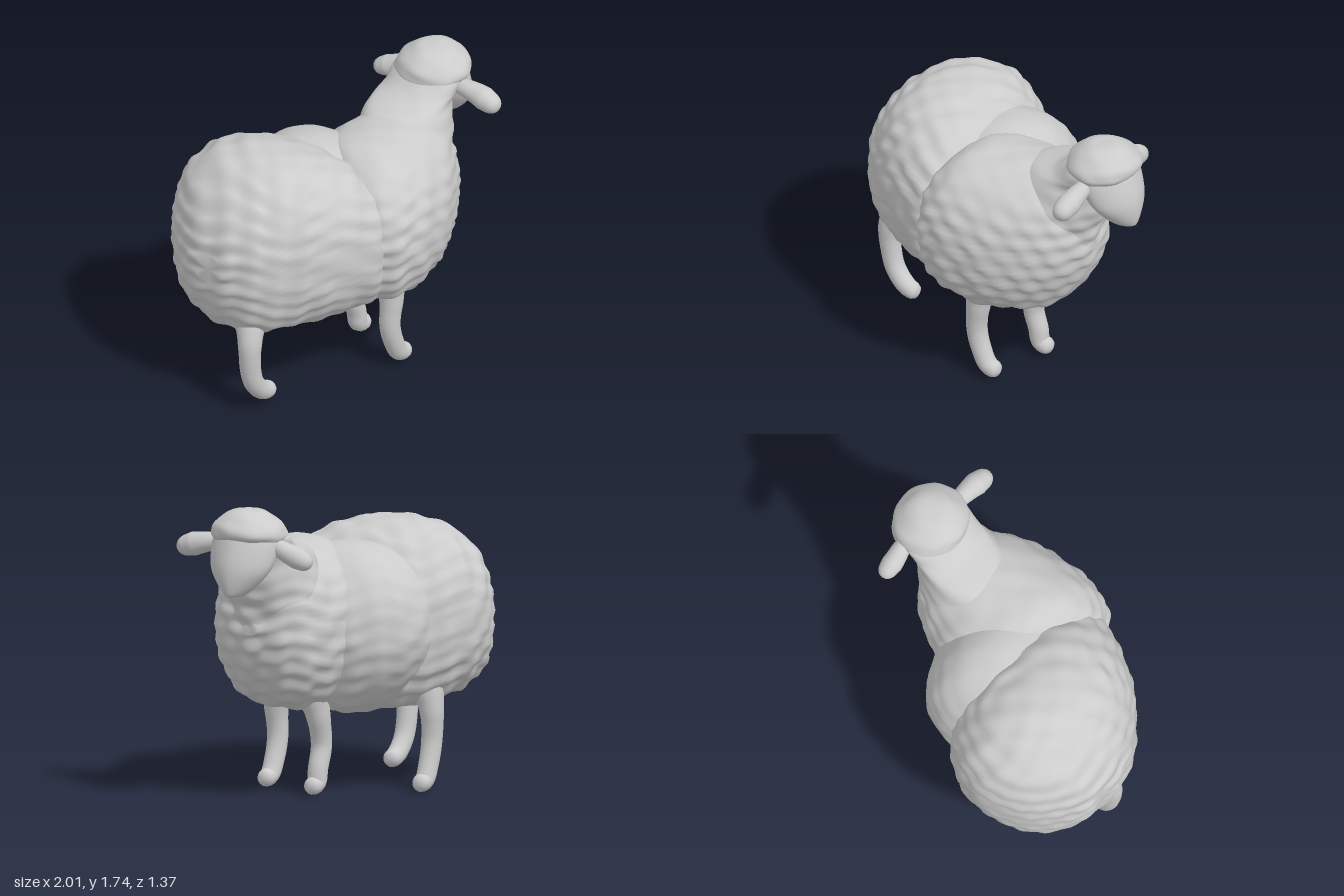
import * as THREE from 'three';
import { mergeVertices } from 'three/addons/utils/BufferGeometryUtils.js';

const material = new THREE.MeshStandardMaterial({ color: 0xcccccc });

// Wool relief: staggered horizontal ridges, fading out towards smoothUp
function wool(p, amount, smoothUp) {
  const fade = 1 - 0.75 * THREE.MathUtils.smoothstep(p.y, smoothUp - 0.25, smoothUp);
  const ridge = Math.sin(p.y * 62 + 2.2 * Math.sin(p.x * 9 + p.z * 7));
  const lumps = Math.sin(p.x * 31 + p.y * 13) * Math.sin(p.z * 29 - p.y * 17);
  return amount * fade * (0.5 * ridge + 0.8 * lumps);
}

// Closed loft. A station is [position, lo, hi, lo, hi]:
// along x the ranges are y and z, along y they are x and z.
// Powers below 1 square off the two halves of each ring (upper and lower along x).
function loft(name, axis, stations, { rings = 56, sides = 72, powers = [1, 1], bump = 0, smoothUp = 9 } = {}) {
  const curves = [0, 1, 2, 3, 4].map(k =>
    new THREE.CatmullRomCurve3(stations.map((s, i) => new THREE.Vector3(i, s[k], 0)), false, 'catmullrom', 0.5));
  const pos = [], index = [];
  const place = (m, u, v) => (axis === 'x' ? new THREE.Vector3(m, u, v) : new THREE.Vector3(u, m, v));
  for (let i = 0; i <= rings; i++) {
    const [m, a, b, c, d] = curves.map(curve => curve.getPoint(i / rings).y);
    for (let j = 0; j < sides; j++) {
      const t = (j / sides) * Math.PI * 2;
      const e = axis === 'x' ? [Math.cos(t), Math.sin(t)] : [Math.sin(t), Math.cos(t)];
      const [u, v] = e.map(w => Math.sign(w) * Math.abs(w) ** powers[e[0] > 0 ? 0 : 1]);
      const p = place(m, (a + b) / 2 + (b - a) / 2 * u, (c + d) / 2 + (d - c) / 2 * v);
      const out = place((2 * i / rings - 1) ** 3, e[0], e[1]);
      p.addScaledVector(out, wool(p, bump, smoothUp));
      pos.push(p.x, p.y, p.z);
      if (i < rings) {
        const q = i * sides + j, r = i * sides + (j + 1) % sides;
        index.push(q, r, q + sides, r, r + sides, q + sides);
      }
    }
  }
  // End caps
  [stations[0], stations[stations.length - 1]].forEach((s, end) => {
    const p = place(s[0], (s[1] + s[2]) / 2, (s[3] + s[4]) / 2);
    const centre = pos.length / 3, base = end * rings * sides;
    pos.push(p.x, p.y, p.z);
    for (let j = 0; j < sides; j++) {
      const q = base + j, r = base + (j + 1) % sides;
      index.push(centre, end ? q : r, end ? r : q);
    }
  });
  const g = new THREE.BufferGeometry();
  g.setAttribute('position', new THREE.Float32BufferAttribute(pos, 3));
  g.setIndex(index);
  g.computeVertexNormals();
  const mesh = new THREE.Mesh(g, material);
  mesh.name = name;
  return mesh;
}

// Round limb swept along points, with a radius at each step and a rounded tip
function limb(name, points, radii) {
  const n = 40, sides = 18;
  const curve = new THREE.CatmullRomCurve3(points.map(p => new THREE.Vector3(...p)));
  const g = new THREE.TubeGeometry(curve, n, 1, sides, false);
  const pos = g.attributes.position, v = new THREE.Vector3();
  const length = curve.getLength();
  for (let i = 0; i <= n; i++) {
    const t = i / n, centre = curve.getPointAt(t);
    const s = t * (radii.length - 1), k = Math.min(Math.floor(s), radii.length - 2);
    let r = THREE.MathUtils.lerp(radii[k], radii[k + 1], s - k);
    const left = Math.min(1, (1 - t) * length / r);
    r *= Math.sqrt(1 - (1 - left) ** 2);
    for (let j = 0; j <= sides; j++) {
      const id = i * (sides + 1) + j;
      v.fromBufferAttribute(pos, id).sub(centre).multiplyScalar(r).add(centre);
      pos.setXYZ(id, v.x, v.y, v.z);
    }
  }
  g.deleteAttribute('uv');
  g.deleteAttribute('normal');
  const merged = mergeVertices(g, 1e-5);
  merged.computeVertexNormals();
  const mesh = new THREE.Mesh(merged, material);
  mesh.name = name;
  return mesh;
}

export function createModel() {
  const model = new THREE.Group();
  model.name = 'sheep';

  // Fleece: large hindquarters, right flank and the turned shoulders
  model.add(loft('hindquarters', 'x', [
    [-0.993, 0.88, 1.06, -0.2, -0.03],
    [-0.968, 0.75, 1.17, -0.3, 0.06],
    [-0.9, 0.58, 1.3, -0.43, 0.2],
    [-0.8, 0.5, 1.42, -0.55, 0.3],
    [-0.65, 0.475, 1.52, -0.64, 0.42],
    [-0.45, 0.465, 1.55, -0.68, 0.51],
    [-0.25, 0.455, 1.5, -0.61, 0.565],
    [-0.1, 0.465, 1.4, -0.49, 0.54],
    [0, 0.5, 1.3, -0.38, 0.46],
    [0.1, 0.6, 1.15, -0.2, 0.3],
    [0.15, 0.75, 1.0, -0.05, 0.15],
  ], { rings: 80, sides: 110, powers: [0.87, 0.84], bump: 0.013, smoothUp: 1.65 }));

  model.add(loft('flank', 'x', [
    [-0.4, 0.52, 1.33, -0.42, 0.3],
    [-0.25, 0.46, 1.42, -0.53, 0.4],
    [-0.1, 0.455, 1.45, -0.545, 0.45],
    [0.03, 0.465, 1.435, -0.53, 0.45],
    [0.13, 0.5, 1.38, -0.48, 0.4],
    [0.21, 0.56, 1.3, -0.4, 0.35],
    [0.28, 0.68, 1.2, -0.29, 0.3],
    [0.32, 0.82, 1.1, -0.18, 0.15],
  ], { rings: 60, sides: 90, powers: [0.93, 1.1], bump: 0.008, smoothUp: 1.4 }));

  model.add(loft('shoulders', 'x', [
    [-0.27, 0.85, 1.1, 0.25, 0.5],
    [-0.21, 0.64, 1.32, 0.02, 0.615],
    [-0.1, 0.53, 1.44, -0.15, 0.66],
    [0, 0.49, 1.48, -0.22, 0.67],
    [0.15, 0.485, 1.48, -0.26, 0.655],
    [0.3, 0.51, 1.475, -0.25, 0.61],
    [0.45, 0.555, 1.46, -0.21, 0.54],
    [0.55, 0.64, 1.42, -0.16, 0.47],
    [0.63, 0.77, 1.36, -0.1, 0.4],
    [0.68, 0.9, 1.28, 0, 0.3],
    [0.7, 1.0, 1.18, 0.08, 0.2],
  ], { rings: 84, sides: 110, powers: [0.93, 0.88], bump: 0.013, smoothUp: 1.4 }));

  model.add(loft('neck', 'y', [
    [0.9, 0.2, 0.62, 0.0, 0.32],
    [1.0, 0.12, 0.69, -0.12, 0.42],
    [1.15, 0.13, 0.72, -0.16, 0.43],
    [1.27, 0.15, 0.765, -0.15, 0.41],
    [1.4, 0.2, 0.79, -0.12, 0.365],
    [1.47, 0.28, 0.81, -0.11, 0.335],
    [1.52, 0.45, 0.84, -0.11, 0.325],
    [1.58, 0.54, 0.87, -0.115, 0.325],
    [1.64, 0.57, 0.86, -0.07, 0.28],
  ], { rings: 72, sides: 90, bump: 0.01, smoothUp: 1.4 }));

  // Head: tapering face beneath an overhanging wool cap
  model.add(loft('face', 'y', [
    [1.25, 0.86, 0.96, 0.08, 0.13],
    [1.265, 0.81, 0.985, 0.04, 0.17],
    [1.32, 0.75, 0.998, -0.02, 0.23],
    [1.39, 0.7, 1.0, -0.075, 0.285],
    [1.46, 0.65, 0.99, -0.1, 0.31],
    [1.56, 0.6, 0.96, -0.11, 0.32],
    [1.64, 0.62, 0.93, -0.08, 0.29],
  ], { rings: 30, sides: 48, powers: [1.15, 1.15] }));

  model.add(loft('woolCap', 'y', [
    [1.55, 0.6, 0.9, -0.09, 0.3],
    [1.575, 0.55, 0.945, -0.115, 0.325],
    [1.605, 0.545, 0.967, -0.12, 0.333],
    [1.65, 0.56, 0.957, -0.095, 0.31],
    [1.7, 0.61, 0.915, -0.035, 0.26],
    [1.73, 0.67, 0.86, 0.02, 0.2],
    [1.742, 0.73, 0.8, 0.08, 0.14],
  ], { rings: 36, sides: 56, bump: 0.005 }));

  model.add(limb('leftEar',
    [[0.76, 1.53, 0.24], [0.765, 1.53, 0.33], [0.775, 1.515, 0.43], [0.78, 1.475, 0.577]],
    [0.04, 0.055, 0.07, 0.052]));
  model.add(limb('rightEar',
    [[0.77, 1.55, -0.04], [0.76, 1.525, -0.11], [0.74, 1.485, -0.19], [0.72, 1.44, -0.3]],
    [0.04, 0.055, 0.063, 0.045]));

  // Legs rise inside the fleece and bend forward into the foot:
  // [name, hip x, hip z, knee x, shin x, toe x, sole y, z]
  const legs = [
    ['frontLeftLeg', 0.07, 0.34, 0.053, 0.04, 0.21, 0.015, 0.38],
    ['frontRightLeg', 0.23, 0.06, 0.195, 0.155, 0.295, 0.015, 0.005],
    ['hindLeftLeg', -0.74, 0.0, -0.84, -0.835, -0.632, 0.035, 0.07],
    ['hindRightLeg', -0.34, -0.36, -0.33, -0.335, -0.172, 0.005, -0.43],
  ];
  for (const [name, hipX, hipZ, knee, shin, toe, sole, z] of legs) {
    model.add(limb(name, [
      [hipX, 0.7, hipZ], [knee, 0.48, z], [shin, 0.29, z],
      [shin + 0.035, sole + 0.145, z], [toe - 0.085, sole + 0.06, z], [toe, sole + 0.046, z],
    ], [0.11, 0.1, 0.075, 0.064, 0.061, 0.059, 0.057, 0.05]));
  }
  return model;
}
